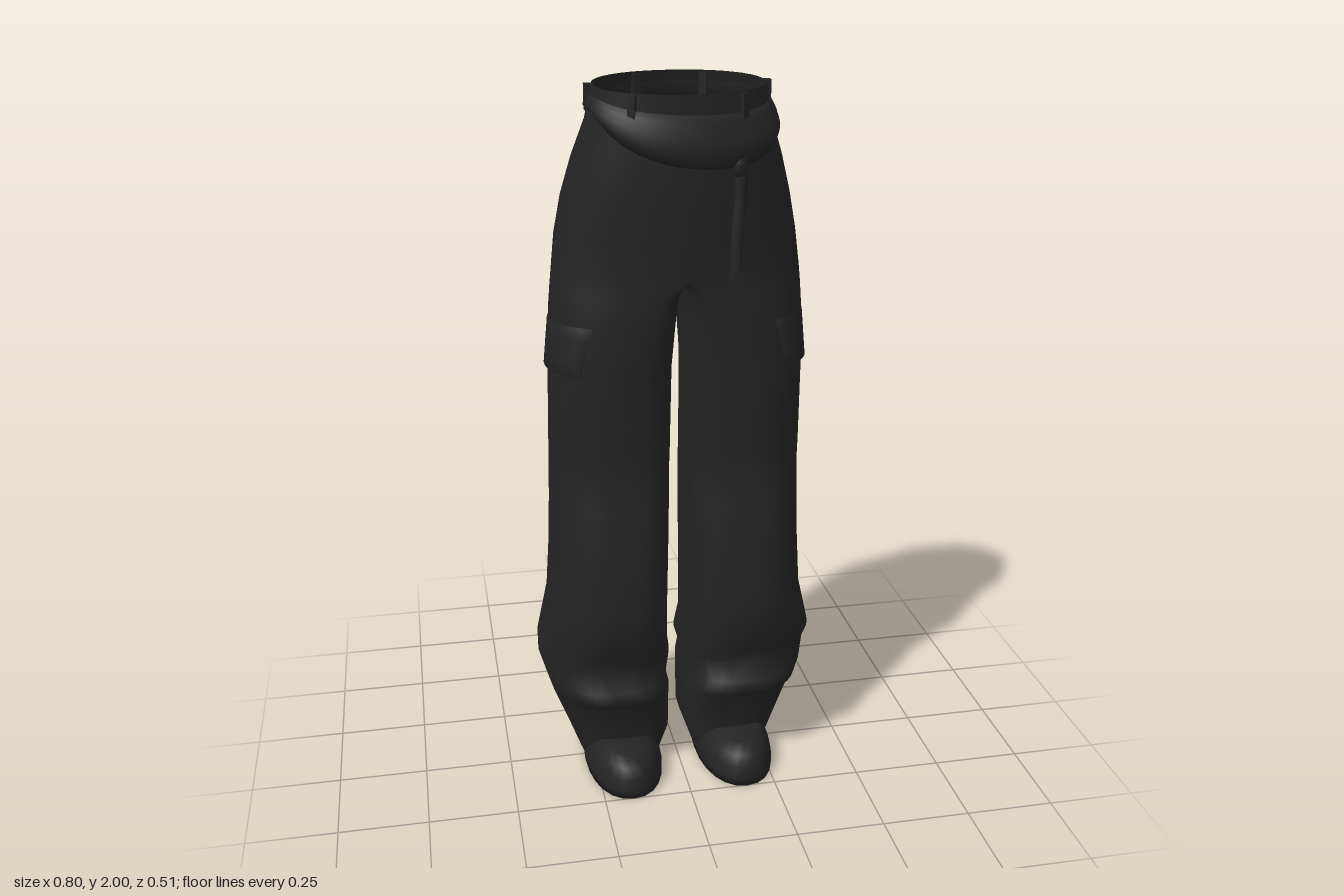
import * as THREE from 'three';
import { mergeGeometries, mergeVertices } from 'three/addons/utils/BufferGeometryUtils.js';

// Trouser cross-sections, top to bottom: y, inner x, outer x, back z, front z
const RINGS = [
  [2, 0, .222, -.085, .205], [1.9, 0, .24, -.108, .203], [1.8, 0, .275, -.155, .205],
  [1.7, 0, .303, -.18, .197], [1.6, 0, .323, -.177, .187], [1.5, 0, .335, -.15, .177],
  [1.46, .004, .339, -.147, .174], [1.4, .01, .344, -.145, .17], [1.25, .019, .349, -.145, .16],
  [1, .021, .353, -.162, .142], [.93, .022, .354, -.175, .136], [.85, .024, .355, -.195, .155],
  [.7, .028, .36, -.224, .175], [.55, .031, .37, -.24, .18], [.41, .03, .402, -.237, .177],
  [.345, .017, .4, -.222, .11], [.295, .034, .384, -.254, .163], [.25, .024, .37, -.246, .162],
  [.215, .02, .36, -.21, .115], [.1, .022, .316, -.203, .106], [.012, .052, .285, -.2, .09],
];
const CROTCH = 5;
const H = Math.PI / 2;
const spow = (v, p) => Math.sign(v) * Math.abs(v) ** p;

// Point on a cross-section; angle 0 is the outer side, +90 degrees the front.
// The split between outer and inner panel moves from the midline to the leg centre below the crotch.
// The outer side is nearly round, the inner side is squarer.
function ringPoint([y, xi, xo, zb, zf], a) {
  const p = Math.cos(a) > 0 ? .94 : .6;
  const c = spow(Math.cos(a), p), s = spow(Math.sin(a), p);
  const xc = (xi + xo) / 2 * Math.min(1, Math.max(0, (1.5 - y) / .25)) ** .6;
  const tilt = Math.max(0, y - 1.9) * .13 * (s + 1);
  return [xc + c * (c > 0 ? xo - xc : xc - xi), y - tilt, (zb + zf) / 2 + s * (zf - zb) / 2];
}

// Point on the trousers at any height, pushed outwards by off
function surfacePoint(y, a, off) {
  let i = 0;
  while (i < RINGS.length - 2 && RINGS[i + 1][0] > y) i++;
  const t = (RINGS[i][0] - y) / (RINGS[i][0] - RINGS[i + 1][0]);
  const q = ringPoint(RINGS[i].map((v, k) => v + (RINGS[i + 1][k] - v) * t), a);
  return [q[0] + Math.cos(a) * off, q[1], q[2] + Math.sin(a) * off];
}

// Grid surface from a rule; mirrored across x when side is -1
function grid(rows, cols, rule, side = 1) {
  const pos = [], idx = [];
  for (let i = 0; i <= rows; i++) for (let j = 0; j <= cols; j++) {
    const [x, y, z] = rule(i, j);
    pos.push(x * side, y, z);
  }
  for (let i = 0; i < rows; i++) for (let j = 0; j < cols; j++) {
    const a = i * (cols + 1) + j, b = a + cols + 1;
    if (side > 0) idx.push(a, b, a + 1, a + 1, b, b + 1);
    else idx.push(a, a + 1, b, a + 1, b + 1, b);
  }
  const g = new THREE.BufferGeometry();
  g.setAttribute('position', new THREE.Float32BufferAttribute(pos, 3));
  g.setIndex(idx);
  return g;
}

function smooth(parts) {
  const g = mergeVertices(mergeGeometries(parts), 1e-4);
  g.computeVertexNormals();
  return g;
}

export function createModel() {
  const group = new THREE.Group();
  const cloth = new THREE.MeshStandardMaterial({ color: 0x242424, side: THREE.DoubleSide });
  cloth.name = 'charcoal';
  const add = (name, geometry) => {
    const m = new THREE.Mesh(geometry, cloth);
    m.name = name;
    group.add(m);
    return m;
  };

  // Trousers: outer panels run from waist to hem, inner panels from crotch to hem
  const panels = [], last = RINGS.length - 1;
  for (const side of [1, -1]) {
    panels.push(grid(last, 20, (i, j) => ringPoint(RINGS[i], H - j / 20 * Math.PI), side));
    panels.push(grid(last - CROTCH, 16, (i, j) => ringPoint(RINGS[i + CROTCH], -H - j / 16 * Math.PI), side));
  }
  add('trousers', smooth(panels));

  for (const side of [1, -1]) {
    const label = side > 0 ? 'left' : 'right';

    // Cargo pocket flap: flush at the top, standing off the thigh at its lower edge
    add(label + 'PocketFlap', smooth([grid(6, 10, (i, j) => {
      const edge = i === 0 || i === 6 || j === 0 || j === 10;
      const v = Math.min(1, Math.max(0, (i - 1) / 4)), u = Math.min(1, Math.max(0, (j - 1) / 8));
      return surfacePoint(1.38 - .13 * v, 1 - 1.25 * u, edge ? -.004 : .002 + .008 * v);
    }, side)]));

    // Shoe: stacked outlines (y, half width, back z, front z) closed at the sole and the top
    const levels = [[.11, .001, .07, .12], [.108, .07, -.14, .19], [.09, .09, -.18, .235],
      [.06, .104, -.192, .25], [.025, .112, -.198, .256], [0, .112, -.198, .252], [0, .001, 0, .01]];
    add(label + 'Shoe', smooth([grid(levels.length - 1, 24, (i, j) => {
      const [y, w, zb, zf] = levels[i], a = H - j / 24 * Math.PI * 2;
      return [.167 + w * spow(Math.cos(a), .9), y, (zb + zf) / 2 + spow(Math.sin(a), .9) * (zf - zb) / 2];
    }, side)]));

    // Belt loops: front, side and back
    for (const [name, x, y, z, turn] of [['Front', .138, 1.94, .176, .55],
      ['Side', .228, 1.955, .045, 1.57], ['Back', .09, 1.962, -.08, -.3]]) {
      const loop = add(label + name + 'BeltLoop', new THREE.BoxGeometry(.02, .065, .024));
      loop.position.set(x * side, y, z);
      loop.rotation.y = turn * side;
    }
  }

  // Sash: a narrow band at the sides and back that widens into a soft drape at the front
  const section = [[-.9, -.3], [-1, .4], [-.55, 1], [0, .85], [.6, .45], [1, .15], [.95, -.3], [-.9, -.3]];
  add('sash', smooth([grid(64, 7, (i, j) => {
    const a = -i / 64 * Math.PI * 2, flip = Math.cos(a) < 0;
    const drape = Math.max(0, Math.sin(a + .25)) ** 1.2;
    const [dy, out] = section[j];
    const [x, y, z] = surfacePoint(1.952 - .09 * drape + dy * (.02 + .05 * drape),
      flip ? Math.PI - a : a, out * (.011 + .018 * drape));
    return [flip ? -x : x, y, z];
  })]));

  // Knot and the loose end of the sash
  const knot = add('sashKnot', new THREE.SphereGeometry(.026, 12, 8));
  knot.scale.set(.8, 1.3, .7);
  knot.position.set(.127, 1.8, .195);
  const path = new THREE.CatmullRomCurve3([[.132, 1.82, .19], [.132, 1.72, .19], [.124, 1.62, .194], [.123, 1.5, .196]]
    .map(p => new THREE.Vector3(...p)));
  add('sashTail', new THREE.TubeGeometry(path, 12, .016, 8));
  const tip = add('sashTailEnd', new THREE.BoxGeometry(.03, .03, .034));
  tip.position.set(.123, 1.512, .196);

  return group;
}
